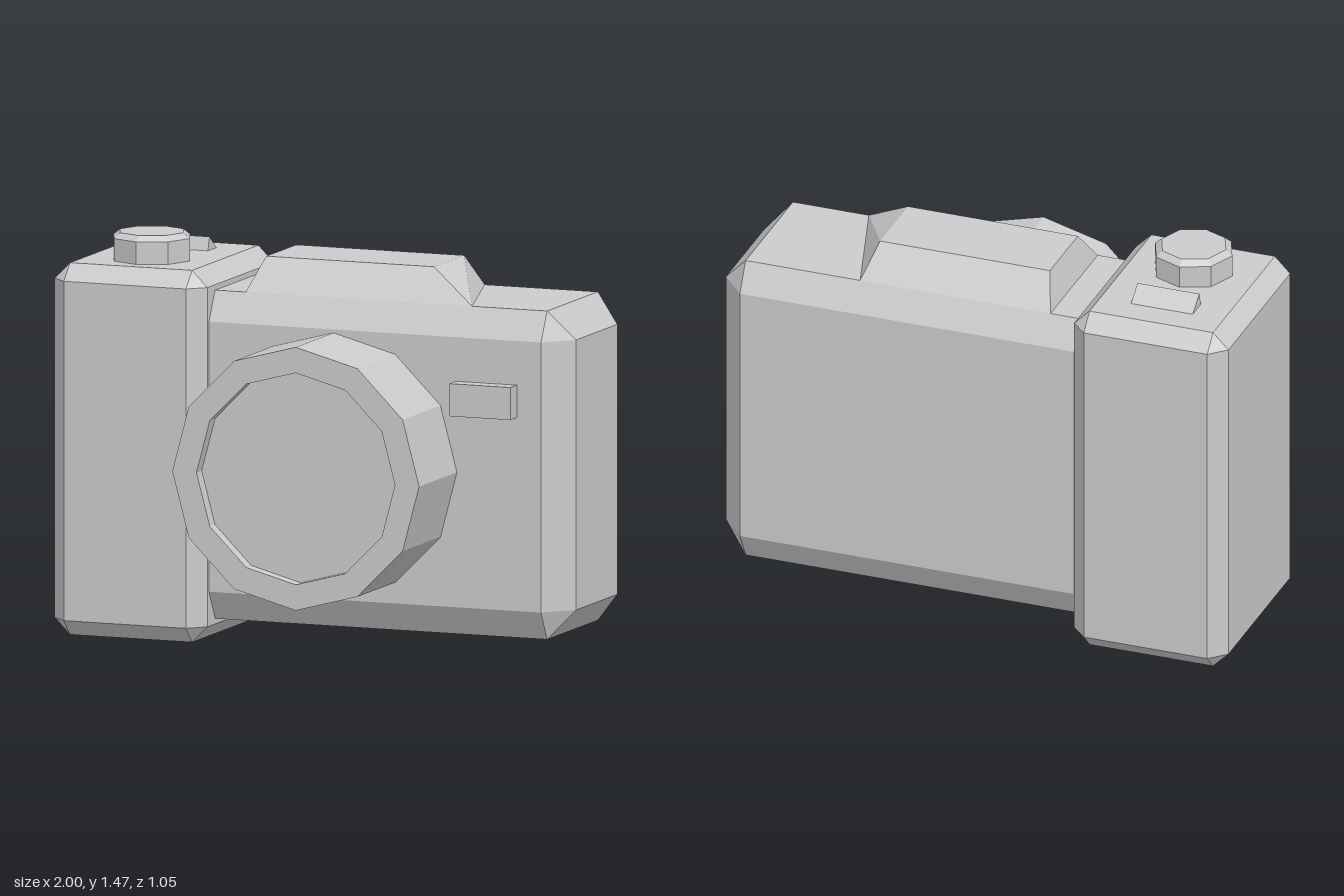
import * as THREE from 'three';
import { ConvexGeometry } from 'three/addons/geometries/ConvexGeometry.js';

const material = new THREE.MeshStandardMaterial({ color: 0xcccccc, flatShading: true });
const hull = (points) => new ConvexGeometry(points.map((p) => new THREE.Vector3(...p)));

// Box with every edge cut at 45 degrees
function chamferBox(w, h, d, c) {
  const points = [];
  for (const sx of [-1, 1]) for (const sy of [-1, 1]) for (const sz of [-1, 1]) {
    const x = w / 2, y = h / 2, z = d / 2;
    points.push([sx * x, sy * (y - c), sz * (z - c)]);
    points.push([sx * (x - c), sy * y, sz * (z - c)]);
    points.push([sx * (x - c), sy * (y - c), sz * z]);
  }
  return hull(points);
}

const lathe = (profile, sides) =>
  new THREE.LatheGeometry(profile.map((p) => new THREE.Vector2(...p)), sides);

export function createModel() {
  const model = new THREE.Group();
  model.name = 'camera';
  const add = (name, geometry, x = 0, y = 0, z = 0) => {
    const mesh = new THREE.Mesh(geometry, material);
    mesh.name = name;
    mesh.position.set(x, y, z);
    model.add(mesh);
    return mesh;
  };

  // Hand grip
  add('grip', chamferBox(0.6, 1.37, 0.76, 0.06), -0.7, 0.685, -0.145);

  // Body: octagonal section tapering to a smaller end face
  const body = [];
  for (const sy of [-1, 1]) for (const sz of [-1, 1]) {
    for (const x of [-0.4, 0.905]) {
      body.push([x, sy * 0.605, sz * 0.245], [x, sy * 0.4975, sz * 0.305]);
    }
    body.push([1, sy * 0.4975, sz * 0.198]);
  }
  add('body', hull(body), 0, 0.685, -0.145);

  // Viewfinder hump, its right slope longer at the front
  add('viewfinderHump', hull([
    [-0.28, 1.29, 0.1], [0.61, 1.29, 0.1], [0.46, 1.29, -0.39], [-0.28, 1.29, -0.39],
    [-0.24, 1.41, 0], [0.42, 1.41, 0], [0.42, 1.41, -0.29], [-0.24, 1.41, -0.29],
  ]));

  // Lens barrel with a shallow recessed front
  const lens = add('lens', lathe(
    [[0.485, 0], [0.485, 0.365], [0.39, 0.365], [0.39, 0.315], [0, 0.315]], 12), 0.09, 0.685, 0.16);
  lens.rotation.x = Math.PI / 2;

  // Front window block
  add('frontWindow', new THREE.BoxGeometry(0.24, 0.12, 0.08), 0.69, 0.96, 0.18);

  // Shutter dial
  add('shutterDial', lathe(
    [[0.15, 0], [0.15, 0.085], [0.125, 0.105], [0, 0.105]], 8), -0.7, 1.368, -0.025);

  // Wedge-shaped switch behind the dial
  const wedge = [];
  for (const x of [-0.82, -0.58]) wedge.push([x, 1.36, -0.268], [x, 1.42, -0.287], [x, 1.36, -0.37]);
  add('switch', hull(wedge));

  return model;
}
